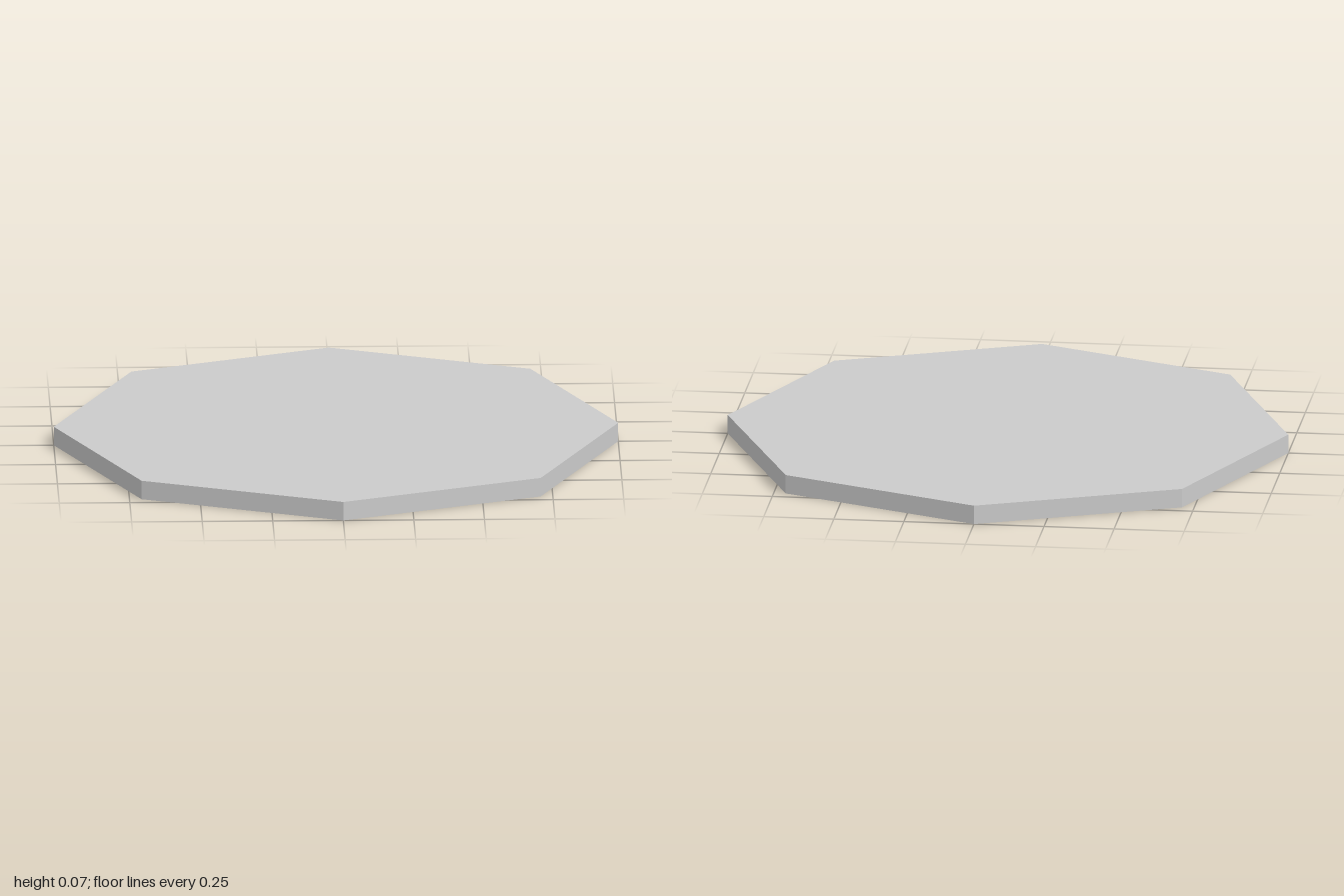
import * as THREE from 'three';

const HEIGHT = 0.068;
const STEP = 0.068; // tread of the stepped inlays

export function createModel() {
  const group = new THREE.Group();
  const material = new THREE.MeshStandardMaterial({
    color: 0xcccccc, flatShading: true, side: THREE.DoubleSide,
  });
  const add = (name, geometry, x, y, z) => {
    const mesh = new THREE.Mesh(geometry, material);
    mesh.name = name;
    mesh.position.set(x, y, z);
    group.add(mesh);
  };

  // Octagonal rim, open underneath
  add('rim', new THREE.CylinderGeometry(1, 1, HEIGHT, 8, 1, true), 0, HEIGHT / 2, 0);

  // Flat top
  add('top', new THREE.CircleGeometry(1, 8).rotateX(-Math.PI / 2), 0, HEIGHT, 0);

  // Stepped flat inlays lying on the top: one in the middle, eight around it
  const outline = [
    [-2, -2], [0, -2], [0, -1], [1, -1], [1, 0], [2, 0],
    [2, 2], [0, 2], [0, 1], [-1, 1], [-1, 0], [-2, 0],
  ].map(([x, y]) => new THREE.Vector2(x * STEP, y * STEP));
  const inlay = new THREE.ShapeGeometry(new THREE.Shape(outline)).rotateX(-Math.PI / 2);
  const centres = [
    [0.01, -0.02], [-0.01, -0.67], [0.41, -0.41], [0.67, 0.01], [0.44, 0.41],
    [-0.02, 0.6], [-0.42, 0.39], [-0.65, -0.04], [-0.43, -0.45],
  ];
  for (const [x, z] of centres) add('steppedInlay', inlay, x, HEIGHT + 0.001, z);

  return group;
}
